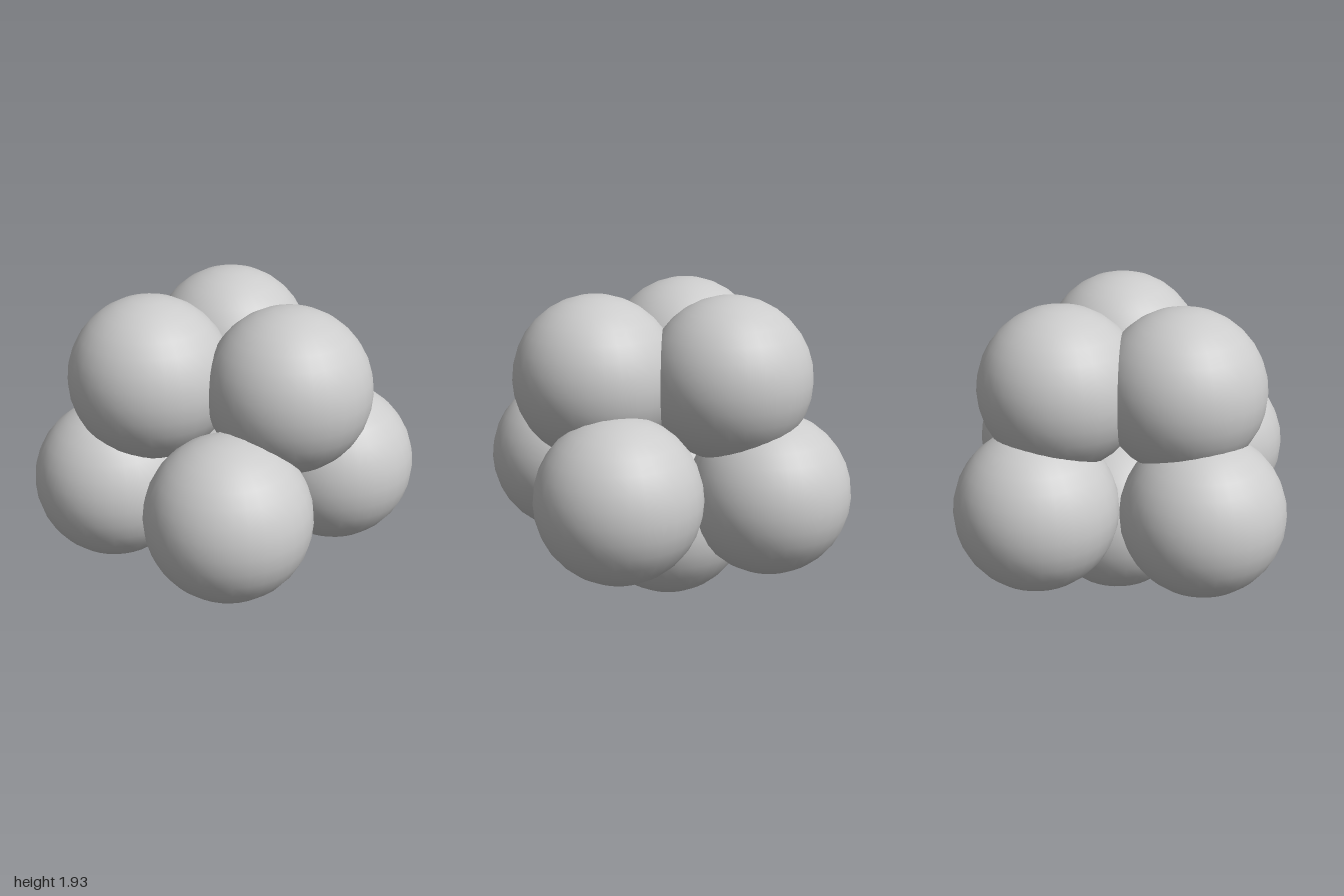
import * as THREE from 'three';

export function createModel() {
  const model = new THREE.Group();
  const material = new THREE.MeshStandardMaterial({ color: 0xcccccc });
  const ball = new THREE.SphereGeometry(0.5, 32, 16);

  const addBall = (name, x, y, z) => {
    const mesh = new THREE.Mesh(ball, material);
    mesh.name = name;
    mesh.position.set(x, y, z);
    model.add(mesh);
  };

  // Single balls near the middle, slightly off centre
  addBall('bottomBall', 0.05, 0.5, 0);
  addBall('topFrontBall', 0.05, 1.43, 0.465);

  // Mirrored pairs: middle ring of four and the two upper back balls
  for (const [side, s] of [['left', 1], ['right', -1]]) {
    addBall(side + 'FrontBall', s * 0.5, 0.8, 0.48);
    addBall(side + 'BackBall', s * 0.5, 0.73, -0.485);
    addBall(side + 'TopBackBall', s * 0.365, 1.43, -0.275);
  }

  return model;
}
